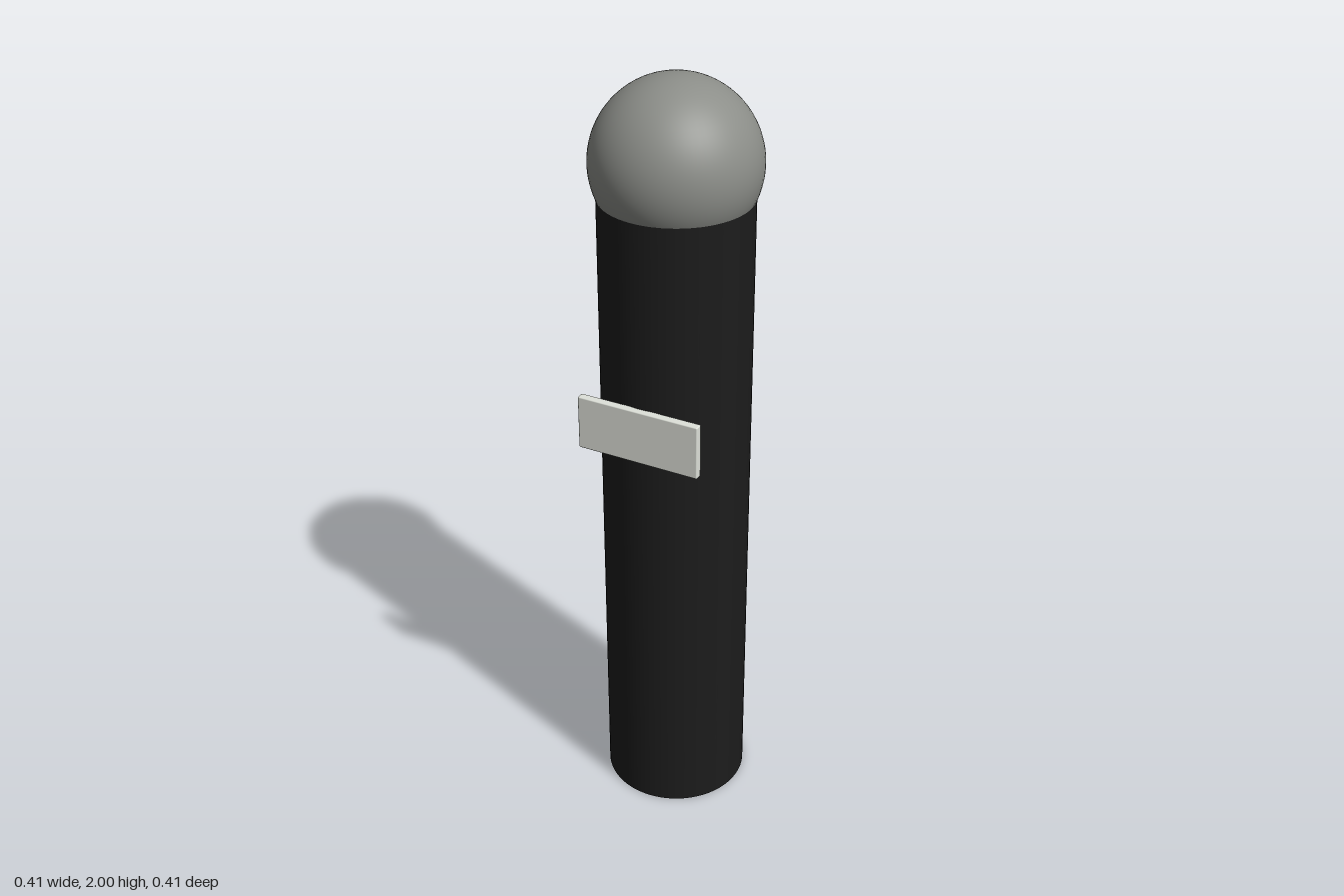
import * as THREE from 'three';
import { RoundedBoxGeometry } from 'three/addons/geometries/RoundedBoxGeometry.js';

function addPart(group, name, geometry, color, x, y, z) {
  const mesh = new THREE.Mesh(geometry, new THREE.MeshStandardMaterial({ color }));
  mesh.name = name;
  mesh.position.set(x, y, z);
  group.add(mesh);
}

export function createModel() {
  const group = new THREE.Group();
  group.name = 'bollard';

  const postRadius = 0.189, postHeight = 1.71, domeRadius = 0.207;

  // Closed cylindrical post
  addPart(group, 'post', new THREE.CylinderGeometry(postRadius, postRadius, postHeight, 64),
    0x1c1c1c, 0, postHeight / 2, 0);

  // Ball cap, seated in the top of the post
  addPart(group, 'ballCap', new THREE.SphereGeometry(domeRadius, 64, 40),
    0x8c8e89, 0, 2 - domeRadius, 0);

  // Flat plate with softened edges on the front of the post
  addPart(group, 'frontPlate', new RoundedBoxGeometry(0.326, 0.142, 0.021, 2, 0.003),
    0xdfe2da, 0, 1.16, 0.195);

  return group;
}
